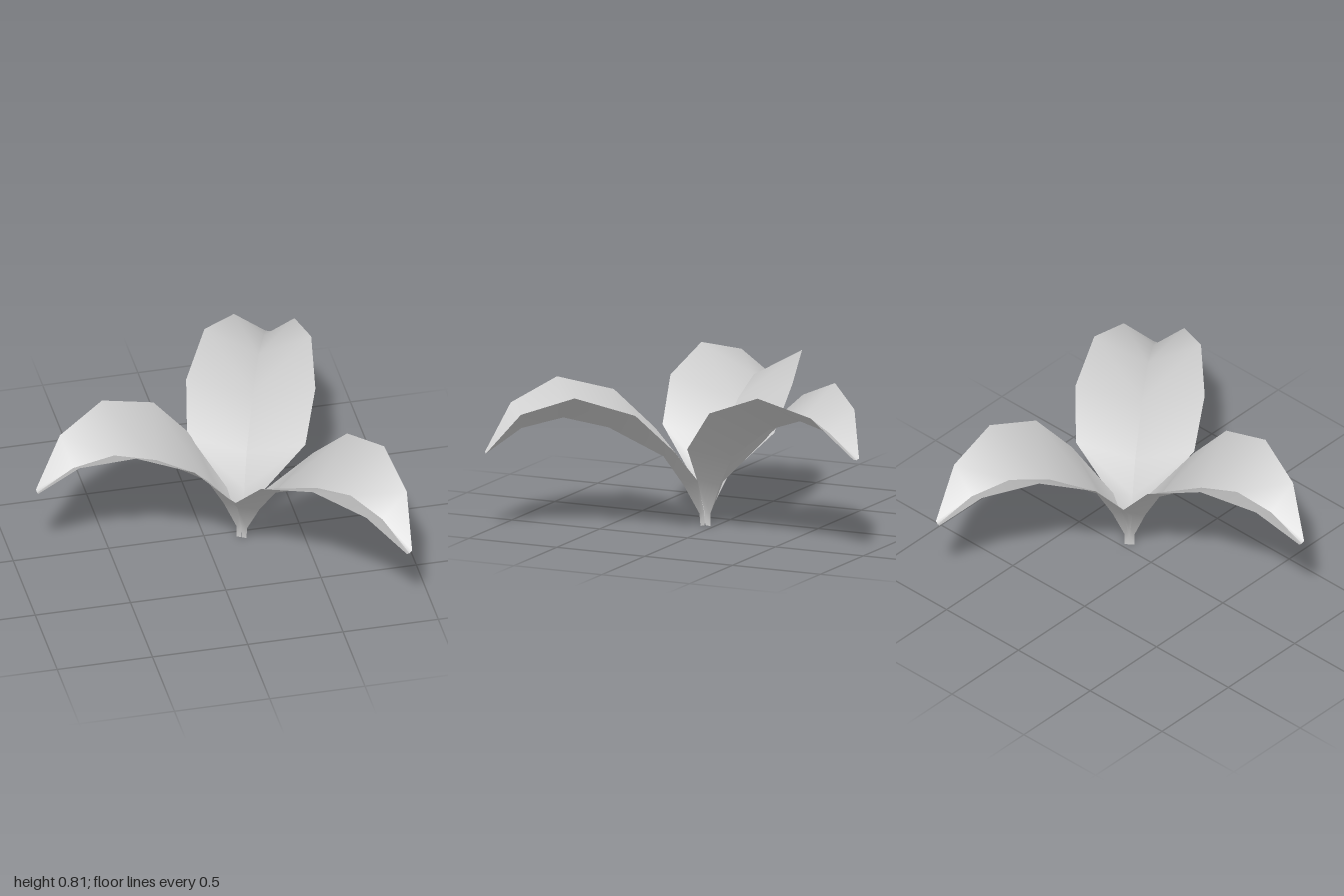
import * as THREE from 'three';

// Leaf sections from stalk to tip: [rib reach, rib height, edge reach, edge height, half width]
const SECTIONS = [
  [0.03, 0.0, 0.012, 0.005, 0.018],
  [0.03, 0.065, 0.008, 0.075, 0.02],
  [0.10, 0.225, 0.04, 0.26, 0.105],
  [0.19, 0.385, 0.176, 0.47, 0.305],
  [0.46, 0.57, 0.367, 0.69, 0.333],
  [0.69, 0.65, 0.663, 0.805, 0.275],
  [0.91, 0.62, 0.93, 0.725, 0.156],
  [1.105, 0.51, 1.105, 0.515, 0.02],
];

// One half of the blade, from the midrib out to the edge
function halfBlade(side) {
  const positions = [];
  const index = [];
  SECTIONS.forEach(([ribR, ribY, edgeR, edgeY, w], i) => {
    positions.push(ribR, ribY, 0, edgeR, edgeY, side * w);
    if (i === 0) return;
    const a = (i - 1) * 2, b = a + 1, c = a + 2, d = a + 3;
    if (side > 0) index.push(a, b, d, a, d, c);
    else index.push(a, d, b, a, c, d);
  });
  const geometry = new THREE.BufferGeometry();
  geometry.setAttribute('position', new THREE.Float32BufferAttribute(positions, 3));
  geometry.setIndex(index);
  geometry.computeVertexNormals();
  return geometry;
}

export function createModel() {
  const model = new THREE.Group();
  model.name = 'threeLeafPlant';
  const material = new THREE.MeshStandardMaterial({ color: 0xcccccc, side: THREE.DoubleSide });
  const halves = [['leftHalf', halfBlade(-1)], ['rightHalf', halfBlade(1)]];

  // Heading in degrees from +x towards +z, and pitch in degrees
  const leaves = [
    ['sideLeaf', 174.5, 0],
    ['backLeaf', -70, 0],
    ['frontLeaf', 54.5, -4.8],
  ];
  for (const [name, heading, pitch] of leaves) {
    const leaf = new THREE.Group();
    leaf.name = name;
    for (const [halfName, geometry] of halves) {
      const mesh = new THREE.Mesh(geometry, material);
      mesh.name = halfName;
      leaf.add(mesh);
    }
    leaf.position.set(0.19, 0, 0.045);
    leaf.rotation.set(0, -THREE.MathUtils.degToRad(heading), THREE.MathUtils.degToRad(pitch));
    model.add(leaf);
  }
  return model;
}
